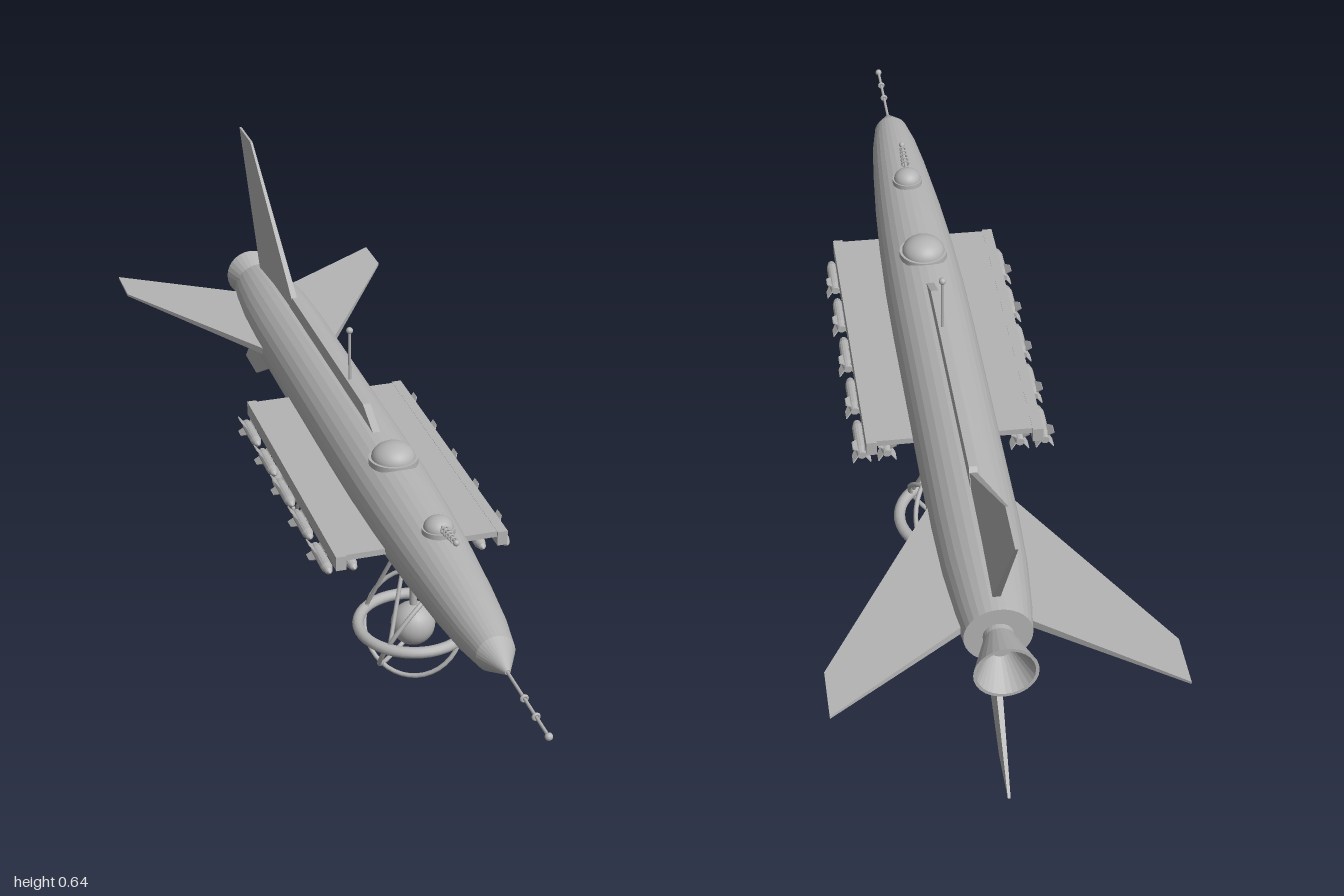
import * as THREE from 'three';
import { toCreasedNormals } from 'three/addons/utils/BufferGeometryUtils.js';

const AXIS = 0.308; // height of the hull axis

export function createModel() {
  const model = new THREE.Group();
  model.name = 'rocketCraft';
  const grey = new THREE.MeshStandardMaterial({ color: 0xb4b4b4 });
  grey.name = 'hull grey';

  function add(name, geometry, parent = model, x = 0, y = 0, z = 0) {
    const mesh = new THREE.Mesh(geometry, grey);
    mesh.name = name;
    mesh.position.set(x, y, z);
    parent.add(mesh);
    return mesh;
  }
  // Round solid along z from [radius, z] pairs running from back to front
  function turned(points, sides) {
    const g = new THREE.LatheGeometry(points.map(([r, z]) => new THREE.Vector2(r, z)), sides);
    return toCreasedNormals(g.rotateX(Math.PI / 2), 0.15);
  }
  // Straight rod between two points
  function rod(name, a, b, radius, parent = model) {
    const from = new THREE.Vector3(...a), to = new THREE.Vector3(...b);
    const dir = to.clone().sub(from);
    const mesh = add(name, new THREE.CylinderGeometry(radius, radius, dir.length(), 10), parent);
    mesh.position.copy(from).add(to).multiplyScalar(0.5);
    mesh.quaternion.setFromUnitVectors(new THREE.Vector3(0, 1, 0), dir.normalize());
    return mesh;
  }
  const ball = (name, r, parent, x, y, z) =>
    add(name, new THREE.SphereGeometry(r, 20, 14), parent, x, y, z);
  const dome = (r) => new THREE.SphereGeometry(r, 24, 10, 0, Math.PI * 2, 0, Math.PI / 2);

  // Hull with pointed nose and flat tail
  add('hull', turned([
    [0, -0.85], [0.06, -0.85], [0.067, -0.8], [0.076, -0.7], [0.08, -0.58], [0.081, 0],
    [0.08, 0.14], [0.076, 0.28], [0.069, 0.42], [0.058, 0.57], [0.048, 0.67],
    [0.036, 0.74], [0.005, 0.8], [0, 0.8],
  ], 32), model, 0, AXIS, 0);

  // Engine nozzle, hollow at the back
  add('nozzle', turned([
    [0, -0.88], [0.02, -0.88], [0.05, -0.938], [0.056, -0.938], [0.04, -0.895],
    [0.027, -0.86], [0.027, -0.84], [0, -0.84],
  ], 28), model, 0, AXIS, 0);

  // Nose probe
  rod('probe', [0, AXIS, 0.79], [0, AXIS, 0.99], 0.003);
  ball('probeTip', 0.007, model, 0, AXIS, 0.993);
  for (const z of [0.88, 0.935]) {
    add('probeRing', new THREE.TorusGeometry(0.005, 0.003, 8, 16), model, 0, AXIS, z);
  }

  // Tapered tail fins; outline given as [z, distance from axis]
  function fin(name, outline, angle, rootWidth) {
    const shape = new THREE.Shape(outline.map(([z, r]) => new THREE.Vector2(-z, r)));
    const g = new THREE.ExtrudeGeometry(shape, { depth: 1, bevelEnabled: false });
    const tip = outline[1][1];
    const p = g.attributes.position;
    for (let i = 0; i < p.count; i++) {
      const width = THREE.MathUtils.lerp(rootWidth, 0.005, p.getY(i) / tip);
      p.setZ(i, (p.getZ(i) - 0.5) * width);
    }
    g.rotateY(Math.PI / 2);
    g.computeVertexNormals();
    add(name, g, model, 0, AXIS, 0).rotation.z = angle;
  }
  const side = [[-0.5, 0.065], [-0.9, 0.3], [-1, 0.3], [-0.83, 0.06]];
  fin('dorsalFin', [[-0.5, 0.07], [-0.9, 0.337], [-1, 0.337], [-0.82, 0.06]], 0, 0.016);
  fin('ventralFin', [[-0.58, 0.06], [-0.9, 0.241], [-1, 0.241], [-0.82, 0.055]], Math.PI, 0.016);
  fin('leftFin', side, -Math.PI / 2, 0.018);
  fin('rightFin', side, Math.PI / 2, 0.018);

  // Spine along the back
  const spine = new THREE.Shape([[-0.07, 0.38], [0.015, 0.418], [0.54, 0.418], [0.58, 0.37]]
    .map(([x, y]) => new THREE.Vector2(x, y)));
  const spineGeometry = new THREE.ExtrudeGeometry(spine, { depth: 0.015, bevelEnabled: false });
  add('spine', spineGeometry.translate(0, 0, -0.0075).rotateY(Math.PI / 2));

  // Antenna
  rod('antenna', [0, 0.41, -0.13], [0, 0.525, -0.13], 0.003);
  ball('antennaTip', 0.007, model, 0, 0.525, -0.13);

  // Observation dome
  add('domeBase', new THREE.CylinderGeometry(0.048, 0.048, 0.012, 28), model, 0, 0.385, 0.16);
  const canopy = add('canopy', dome(0.043), model, 0, 0.389, 0.16);
  canopy.scale.y = 0.72;

  // Gun turret with ringed barrel
  add('turretBase', new THREE.CylinderGeometry(0.031, 0.031, 0.01, 24), model, 0, 0.381, 0.43);
  add('turret', dome(0.028), model, 0, 0.385, 0.43).scale.y = 0.8;
  const gun = new THREE.Group();
  gun.name = 'gun';
  gun.position.set(0, 0.396, 0.44);
  gun.rotation.x = -0.13;
  model.add(gun);
  rod('barrel', [0, 0, 0], [0, 0, 0.088], 0.003, gun);
  for (let i = 0; i < 5; i++) {
    add('barrelRing', new THREE.TorusGeometry(0.007 - i * 0.0005, 0.002, 6, 14), gun, 0, 0, 0.026 + i * 0.012);
  }
  ball('muzzle', 0.006, gun, 0, 0, 0.088);

  // Weapon racks and missiles
  function missile(x, y, z) {
    const group = new THREE.Group();
    group.name = 'missile';
    group.position.set(x, y, z);
    model.add(group);
    add('missileBody', turned([
      [0, -0.052], [0.008, -0.052], [0.011, -0.035], [0.011, 0.03], [0.007, 0.045], [0, 0.054],
    ], 14), group);
    const outline = [[0.0, 0], [-0.03, 0.024], [-0.052, 0.024], [-0.042, 0]];
    const shape = new THREE.Shape(outline.map(([a, b]) => new THREE.Vector2(-a, b)));
    for (let i = 0; i < 4; i++) {
      const g = new THREE.ExtrudeGeometry(shape, { depth: 0.002, bevelEnabled: false });
      g.translate(0, 0, -0.001).rotateY(Math.PI / 2);
      add('missileFin', g, group).rotation.z = Math.PI / 4 + i * Math.PI / 2;
    }
  }
  for (const s of [-1, 1]) {
    add('rackPlate', new THREE.BoxGeometry(0.1, 0.012, 0.65), model, s * 0.118, 0.294, 0.013);
    add('rackRail', new THREE.BoxGeometry(0.02, 0.029, 0.66), model, s * 0.158, 0.286, 0.013);
    for (let i = 0; i < 5; i++) {
      const z = -0.25 + i * 0.131;
      for (const x of [0.127, 0.175]) missile(s * x, 0.259, z);
      rod('missileMount', [s * 0.127, 0.259, z], [s * 0.127, 0.29, z], 0.003);
      rod('missileMount', [s * 0.175, 0.259, z], [s * 0.158, 0.277, z], 0.003);
    }
  }

  // Landing units: sphere, flat ring, two tilted rings and legs
  for (const z of [0.29, -0.31]) {
    const unit = new THREE.Group();
    unit.name = 'landingUnit';
    unit.position.set(0, 0.096, z);
    model.add(unit);
    ball('core', 0.043, unit, 0, 0, 0);
    add('flatRing', new THREE.TorusGeometry(0.106, 0.011, 12, 40).rotateX(Math.PI / 2), unit);
    rod('centreStrut', [0, 0, 0], [0, 0.15, 0], 0.007, unit);
    for (const s of [-1, 1]) {
      const ring = add('tiltedRing', new THREE.TorusGeometry(0.102, 0.0045, 8, 40), unit);
      const normal = new THREE.Vector3(0.612, -0.465, s * 0.64).normalize();
      ring.quaternion.setFromUnitVectors(new THREE.Vector3(0, 0, 1), normal);
      // Bead placed on the ring from its x and y
      const [bx, by] = s > 0 ? [0.006, 0.083] : [-0.079, -0.048];
      const bz = -(normal.x * bx + normal.y * by) / normal.z;
      ball('ringBead', 0.01, unit, bx, by, bz);
      for (const t of [-1, 1]) {
        rod('leg', [s * 0.03, 0.142, t * 0.025], [s * 0.072, 0.003, t * 0.077], 0.004, unit);
      }
    }
  }
  return model;
}
